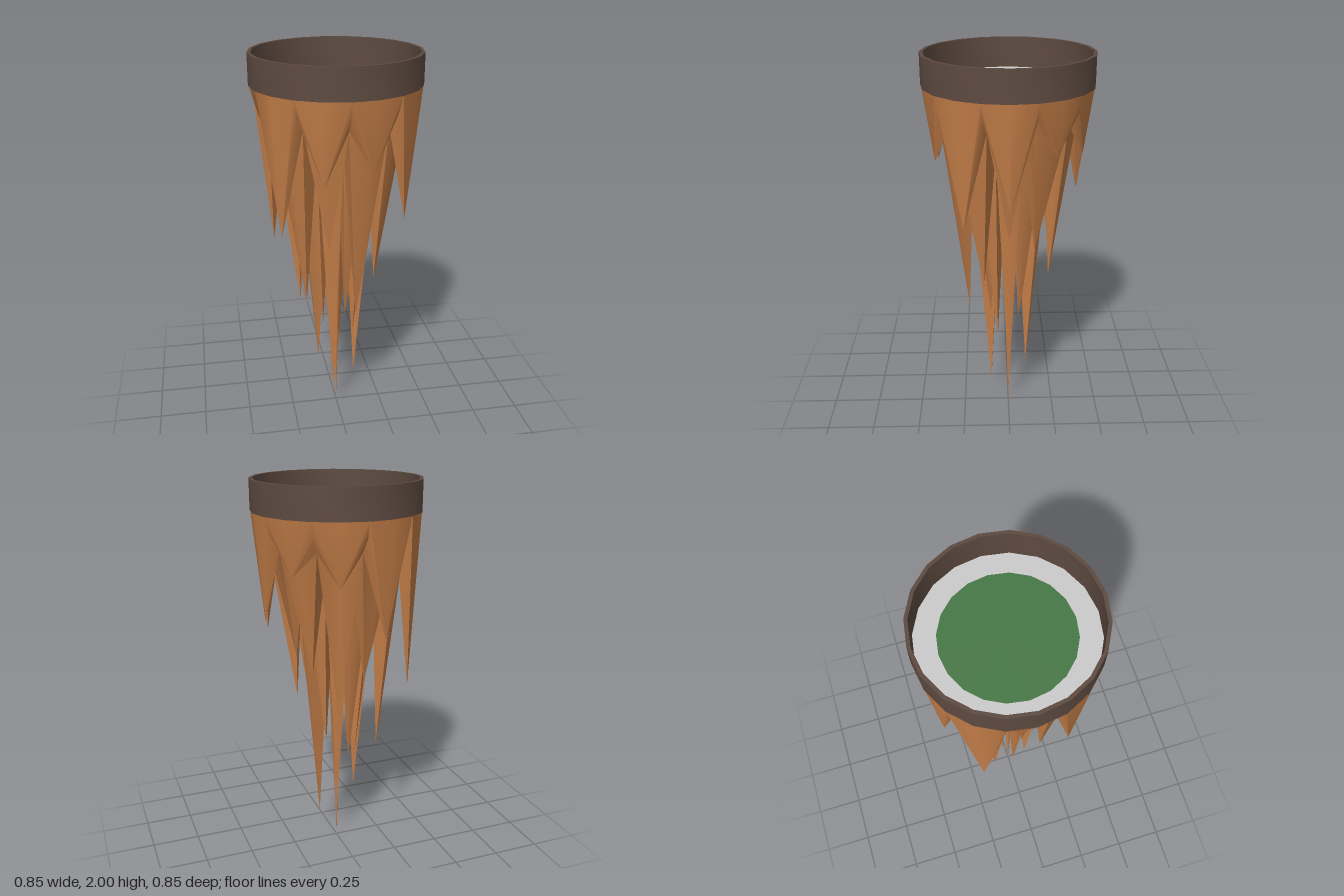
import * as THREE from 'three';
import { toCreasedNormals } from 'three/addons/utils/BufferGeometryUtils.js';

const SIDES = 20;

// Jagged root: rings of 20 corners running from the rim to the lowest point.
// Even corners stay high as notches, odd corners drop to spike tips.
function createRootGeometry() {
  const tiers = [
    { notch: [0.40, 1.76], tip: 0.38, inner: [0.345, 1.69],
      tips: [1.49, 1.2, 1.31, 1.57, 1.53, 1.26, 0.95, 1.69, 1.14, 1.43] },
    { notch: [0.29, 1.62], tip: 0.22, inner: [0.21, 1.55],
      tips: [0.67, 0.83, 1.11, 1.04, 0.84, 1.0, 0.6, 1.1, 0.72, 1.03] },
    { notch: [0.18, 1.48], tip: 0.1, inner: [0.04, 1.4],
      tips: [0.6, 0.48, 0.18, 0.62, 0.28, 0.53, 0.51, 0.3, 0.55, 0.14] },
  ];
  const positions = [];
  const addRing = (corner) => {
    for (let i = 0; i < SIDES; i++) {
      const [r, y] = corner(i);
      const a = (i / SIDES) * Math.PI * 2;
      positions.push(r * Math.sin(a), y, r * Math.cos(a));
    }
  };
  addRing(() => [0.425, 1.85]);
  for (const t of tiers) {
    addRing((i) => (i % 2 ? [t.tip, t.tips[(i - 1) / 2]] : t.notch));
    addRing(() => t.inner);
  }
  addRing(() => [0, 0]);

  // Every quad is split by the diagonal that meets its spike tip
  const index = [];
  const rings = positions.length / 3 / SIDES;
  for (let k = 0; k < rings - 1; k++) {
    for (let i = 0; i < SIDES; i++) {
      const j = (i + 1) % SIDES;
      const a = k * SIDES + i, b = a + SIDES;
      const c = (k + 1) * SIDES + j, d = k * SIDES + j;
      if ((k + i) % 2 === 0) index.push(a, b, c, a, c, d);
      else index.push(a, b, d, b, c, d);
    }
  }
  const geometry = new THREE.BufferGeometry();
  geometry.setAttribute('position', new THREE.Float32BufferAttribute(positions, 3));
  geometry.setIndex(index);
  return toCreasedNormals(geometry, 0.8);
}

export function createModel() {
  const group = new THREE.Group();
  const add = (name, geometry, color, side = THREE.FrontSide) => {
    const mesh = new THREE.Mesh(geometry, new THREE.MeshStandardMaterial({ color, side }));
    mesh.name = name;
    group.add(mesh);
    return mesh;
  };

  // Hanging rock with three tiers of spikes and a central needle
  add('jaggedRoot', createRootGeometry(), 0xc47e48, THREE.DoubleSide);

  // Upright rim band with a rectangular section
  const section = [[0.41, 1.845], [0.427, 1.845], [0.427, 2], [0.41, 2], [0.41, 1.845]]
    .map(([r, y]) => new THREE.Vector2(r, y));
  add('rimBand', toCreasedNormals(new THREE.LatheGeometry(section, SIDES), 0.6), 0x5d4a40);

  // Floor inside the rim, with the green patch in the middle
  const floor = add('floor', new THREE.CircleGeometry(0.415, SIDES), 0xcccccc);
  floor.rotation.x = -Math.PI / 2;
  floor.position.y = 1.845;
  const lawn = add('greenPatch', new THREE.CircleGeometry(0.307, SIDES), 0x477846);
  lawn.rotation.x = -Math.PI / 2;
  lawn.position.y = 1.849;

  return group;
}
